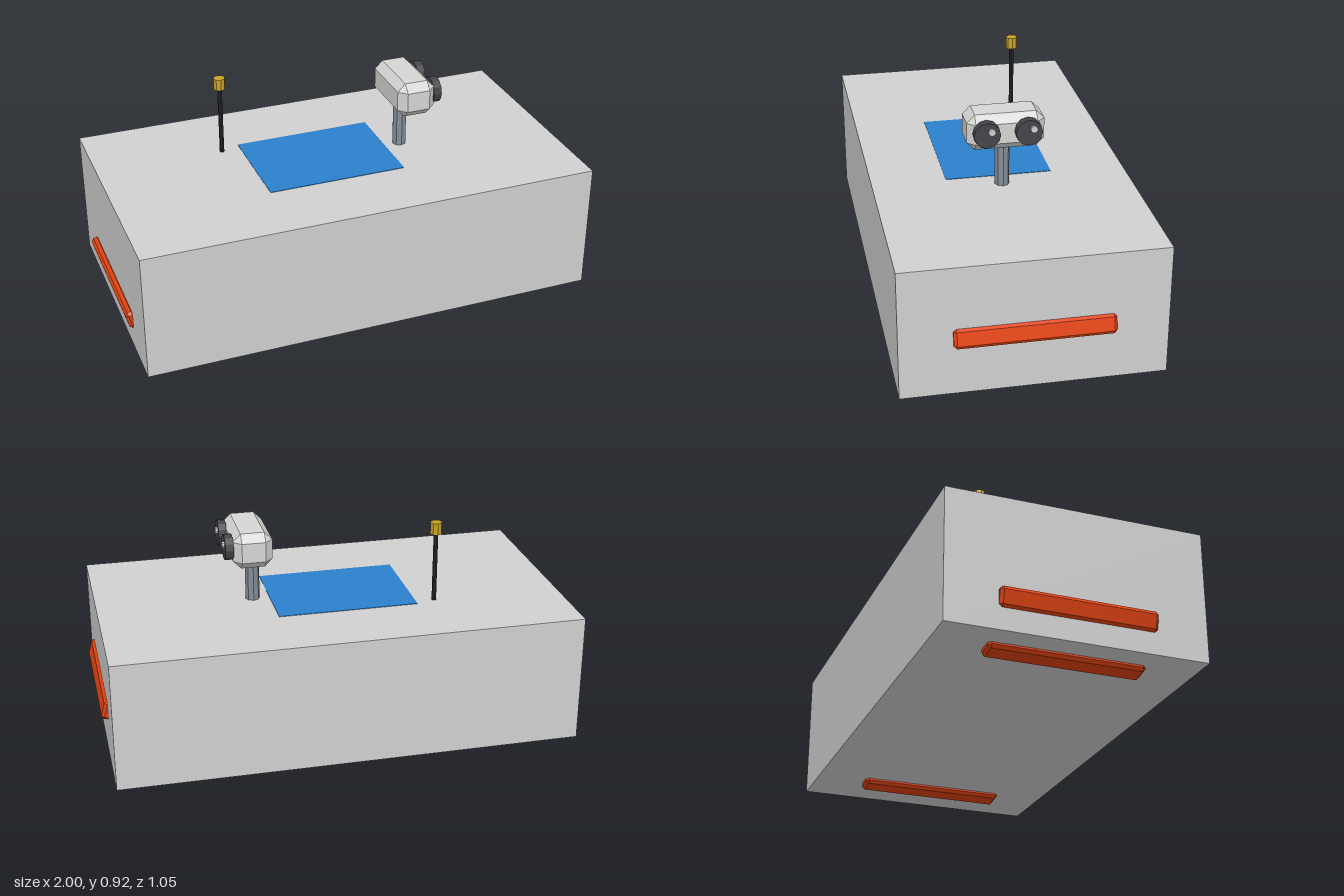
import * as THREE from 'three';
import { ConvexGeometry } from 'three/addons/geometries/ConvexGeometry.js';

const material = (name, color) => {
  const m = new THREE.MeshStandardMaterial({ color });
  m.name = name;
  return m;
};

// Box with every edge cut by c
function chamferedBox(w, h, d, c) {
  const points = [];
  for (const sx of [-1, 1]) for (const sy of [-1, 1]) for (const sz of [-1, 1]) {
    for (let face = 0; face < 3; face++) {
      const [x, y, z] = [w, h, d].map((size, axis) => size / 2 - (axis === face ? 0 : c));
      points.push(new THREE.Vector3(sx * x, sy * y, sz * z));
    }
  }
  return new ConvexGeometry(points);
}

// Faceted cylinder, flat shaded
function prism(radius, height, sides) {
  const g = new THREE.CylinderGeometry(radius, radius, height, sides).toNonIndexed();
  g.computeVertexNormals();
  return g;
}

export function createModel() {
  const hullGrey = material('hull grey', 0xd0d0d0);
  const headWhite = material('head light grey', 0xd6d6d4);
  const orange = material('bumper orange', 0xe2420f);
  const steel = material('mast steel', 0x858e98);
  const dark = material('lens dark grey', 0x45454a);
  const black = material('antenna black', 0x2a2a2e);
  const gold = material('tip gold', 0xc9a227);
  const blue = material('panel blue', 0x2a80cc);
  const glint = material('glint pale grey', 0xd0d0d2);

  const model = new THREE.Group();
  const add = (name, geometry, mat, x, y, z, parent = model) => {
    const mesh = new THREE.Mesh(geometry, mat);
    mesh.name = name;
    mesh.position.set(x, y, z);
    parent.add(mesh);
    return mesh;
  };

  // Main body and the panel on its deck
  add('hull', new THREE.BoxGeometry(1.94, 0.546, 1.05), hullGrey, 0, 0.308, 0);
  add('deckPanel', new THREE.BoxGeometry(0.59, 0.004, 0.44), blue, -0.05, 0.581, 0);

  // Tilted bars at both ends and underneath
  const endBar = chamferedBox(0.04, 0.08, 0.63, 0.012);
  const underBar = chamferedBox(0.085, 0.04, 0.63, 0.012);
  add('leftEndBar', endBar, orange, 0.971, 0.279, 0).rotation.z = 0.26;
  add('rightEndBar', endBar, orange, -0.971, 0.166, 0).rotation.z = 0.26;
  for (const x of [-0.825, 0.735]) {
    add('undersideBar', underBar, orange, x, 0.028, 0).rotation.z = -0.17;
  }

  // Camera mast and head, looking along +x
  add('mast', prism(0.03, 0.2, 8), steel, 0.315, 0.678, 0);
  const head = new THREE.Group();
  head.name = 'cameraHead';
  head.position.set(0.332, 0.845, 0);
  model.add(head);
  add('headShell', chamferedBox(0.164, 0.15, 0.314, 0.033), headWhite, 0, 0, 0, head);
  for (const z of [-0.084, 0.084]) {
    add('lens', prism(0.054, 0.034, 12), dark, 0.096, 0.009, z, head).rotation.z = -Math.PI / 2;
    add('lensGlint', prism(0.015, 0.012, 8), glint, 0.118, 0.026, z - 0.017, head).rotation.z = -Math.PI / 2;
  }

  // Antenna with gold tip
  add('antennaRod', prism(0.01, 0.31, 8), black, -0.425, 0.73, -0.19);
  add('antennaTip', prism(0.025, 0.05, 8), gold, -0.425, 0.903, -0.19);

  return model;
}
